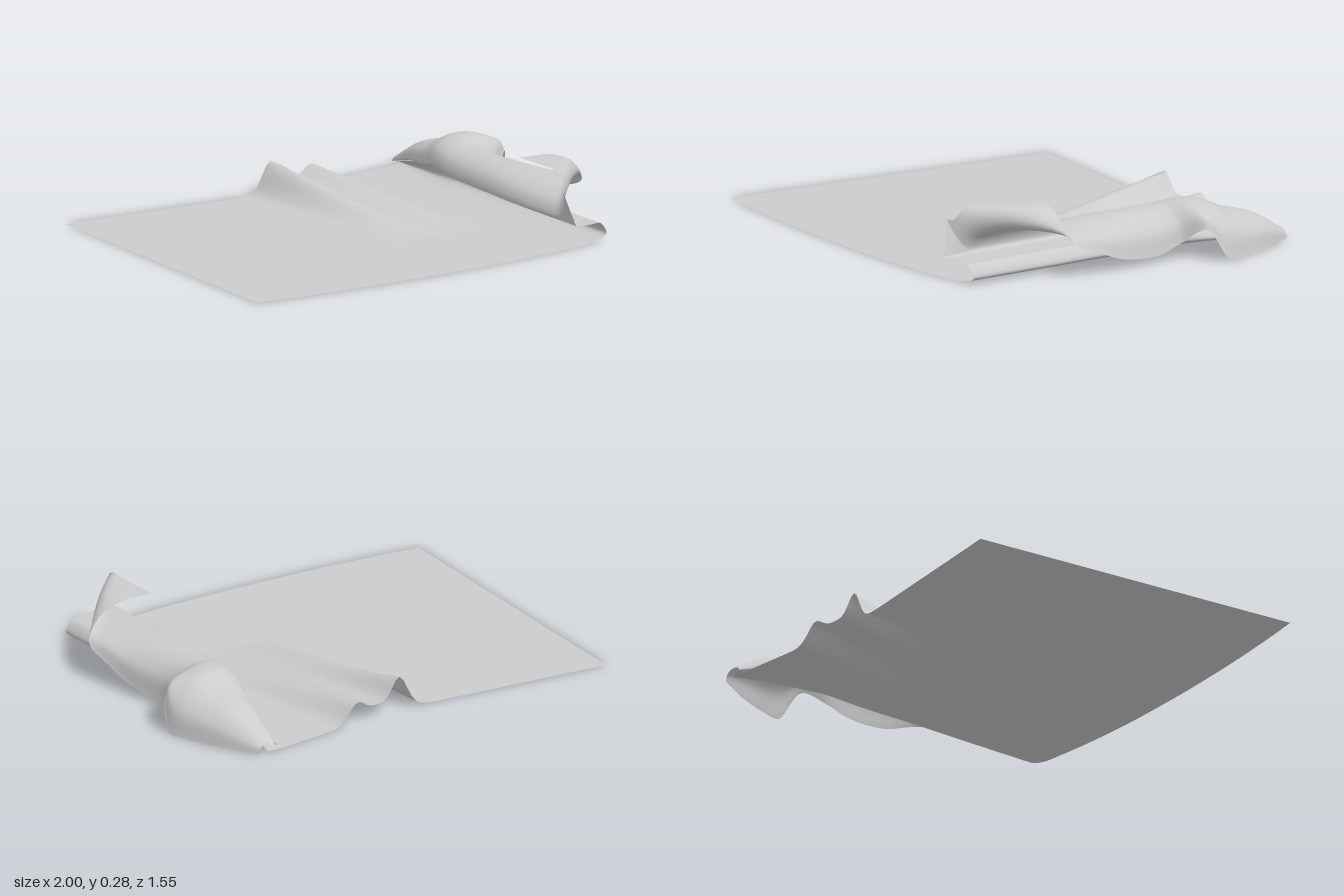
import * as THREE from 'three';

const { lerp, smoothstep, clamp } = THREE.MathUtils;

// outline of the lying sheet
const backEdge = x => -0.68 - 0.107 * Math.abs(Math.min(x, 0.75) - 0.1);
const frontEdge = x => { const d = Math.min(x, 0.72) - 0.1; return 0.77 - d * d * (d < 0 ? 0.066 : 0.13); };

// two ridges on a low swell, highest at the back edge and dying out towards the middle
function wrinkle(x, z) {
  const t = clamp((z + 0.69) / 0.95, 0, 1);
  const bump = (centre, width, height) => height * Math.exp(-(((x - centre - 0.08 * t) / (width + 0.05 * t)) ** 2));
  const height = bump(0.09, 0.05, 0.115) + bump(0.32, 0.055, 0.065) + bump(0.2, 0.13, 0.05);
  return height * (1 - t) ** 1.2 * (1 - smoothstep(x, 0.4, 0.5));
}

// S-shaped cross-section: along the floor, curled back to the left, then over to the hem
function foldSection([z, curl, left, hem, top, hemY]) {
  const across = f => left + f * (hem - left);
  return [
    [0.5, 0], [curl - 0.09, 0], [curl, 0.15 * top], [curl - 0.03, 0.41 * top],
    [(curl + left) / 2, 0.44 * top], [left, 0.5 * top], [across(0.06), 0.8 * top], [across(0.3), top],
    [across(0.66), lerp(hemY, top, 0.93)], [across(0.92), lerp(hemY, top, 0.55)], [hem, hemY],
  ].map(([x, y]) => new THREE.Vector3(x, y, z));
}

// from back to front: z, x of the curl, left turn and hem, height of the top and of the hem
const sections = [
  [-0.75, 0.80, 0.755, 0.84, 0.04, 0],
  [-0.6, 0.77, 0.72, 0.92, 0.125, 0],
  [-0.45, 0.75, 0.67, 0.975, 0.17, 0],
  [-0.34, 0.74, 0.635, 1.0, 0.215, 0.01],
  [-0.26, 0.74, 0.62, 0.96, 0.215, 0.13],
  [-0.19, 0.74, 0.61, 0.88, 0.2, 0.07],
  [-0.1, 0.74, 0.6, 0.86, 0.195, 0.03],
  [0.1, 0.735, 0.58, 0.88, 0.195, 0.045],
  [0.32, 0.735, 0.565, 0.9, 0.19, 0.12],
  [0.72, 0.73, 0.56, 0.93, 0.18, 0.15],
].map(foldSection);

// the free corner of the upper layer turns over a diagonal crease and lies back on the fold
function turnCorner(p) {
  const radius = 0.045, s = (p.x + p.z - 1.17) / Math.SQRT2;
  if (s <= 0 || p.z < 0.2) return;
  const angle = Math.min(s / radius, Math.PI);
  const out = angle < Math.PI ? radius * Math.sin(angle) : Math.PI * radius - s;
  p.x += (out - s) / Math.SQRT2;
  p.z += (out - s) / Math.SQRT2;
  const drop = Math.max(0, p.x - 0.68);
  p.y = lerp(p.y, 0.195 - 2.2 * drop * drop, smoothstep(angle, 0, Math.PI)) + radius * (1 - Math.cos(angle));
}

function clothGeometry() {
  const flat = 70, fold = 100, rows = 130, cols = flat + fold;
  // one lengthwise curve per point of the cross-section
  const rails = sections[0].map((_, i) => new THREE.CatmullRomCurve3(sections.map(section => section[i])));
  const positions = [], index = [];
  for (let r = 0; r <= rows; r++) {
    const ring = rails.map(rail => rail.getPoint(r / rows));
    const section = new THREE.CatmullRomCurve3(ring);
    const t = clamp((ring[0].z + 0.75) / 1.47, 0, 1);
    const left = lerp(-0.86, -1, t);
    for (let c = 0; c <= cols; c++) {
      const u = (c - flat) / fold;
      const p = u < 0 ? new THREE.Vector3(lerp(left, ring[0].x, c / flat), 0, 0) : section.getPoint(u);
      p.z = lerp(backEdge(p.x), frontEdge(p.x), t);
      p.y = u < 0 ? wrinkle(p.x, p.z) : Math.max(0, p.y);
      if (u > 0.5) {
        p.z -= 0.03 * t * smoothstep(u, 0.5, 0.6);
        turnCorner(p);
      }
      positions.push(p.x, p.y, p.z);
      if (r < rows && c < cols) {
        const a = r * (cols + 1) + c, b = a + cols + 1;
        index.push(a, b, a + 1, b, b + 1, a + 1);
      }
    }
  }
  const geometry = new THREE.BufferGeometry();
  geometry.setAttribute('position', new THREE.Float32BufferAttribute(positions, 3));
  geometry.setIndex(index);
  geometry.computeVertexNormals();
  return geometry;
}

export function createModel() {
  const group = new THREE.Group();
  group.name = 'foldedCloth';
  const material = new THREE.MeshStandardMaterial({ color: 0xcccccc, side: THREE.DoubleSide });
  const cloth = new THREE.Mesh(clothGeometry(), material);
  cloth.name = 'clothSheet';
  group.add(cloth);
  return group;
}
